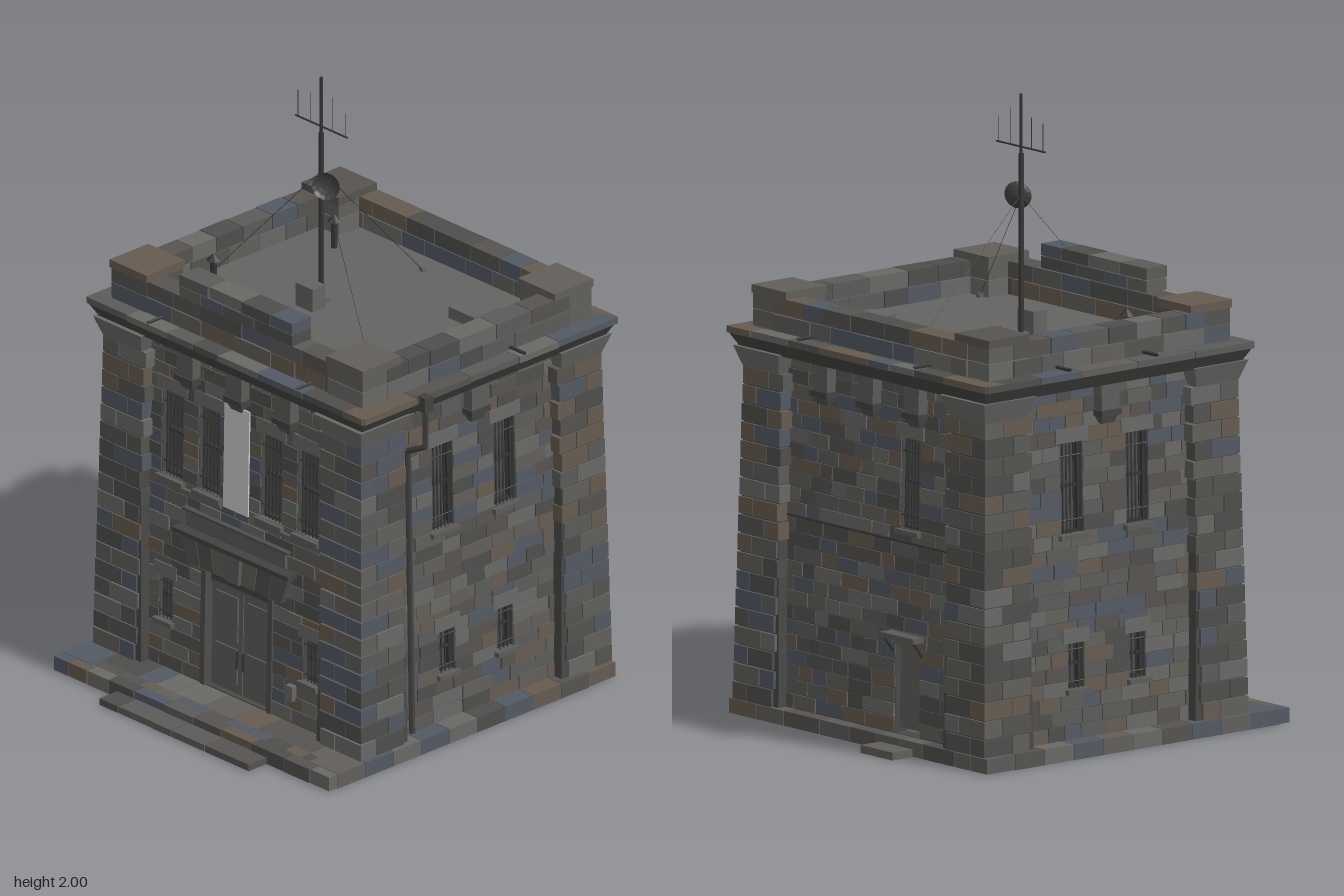
import * as THREE from 'three';
import { mergeGeometries } from 'three/addons/utils/BufferGeometryUtils.js';

const CX = -0.01, CZ = -0.075;              // centre of the tower in plan
const SHADES = [0x5b5b59, 0x625f5a, 0x535963, 0x655b50, 0x4e4e4c, 0x686865, 0x565350];
const mat = (color) => new THREE.MeshStandardMaterial({ color, side: THREE.DoubleSide, flatShading: true });
const STONE = SHADES.map(mat);
const [MORTAR, DARK, PANE, IRON, ROOF, DOOR, PALE] = [0x484846, 0x424240, 0x4c4c4b, 0x363636, 0x636361, 0x5e5d5a, 0xe6e6e6].map(mat);

let seed = 7;
const rnd = () => (seed = (seed * 16807) % 2147483647) / 2147483647;

function mesh(parent, name, geo, material) {
  const m = new THREE.Mesh(geo, material);
  m.name = name;
  parent.add(m);
  return m;
}
// box given by its limits
const boxGeo = (x0, x1, y0, y1, z0, z1) =>
  new THREE.BoxGeometry(x1 - x0, y1 - y0, z1 - z0).translate((x0 + x1) / 2, (y0 + y1) / 2, (z0 + z1) / 2);
const box = (p, name, m, ...b) => mesh(p, name, boxGeo(...b), m);
// box whose top has other half sizes than its foot
function taper(hx0, hz0, hx1, hz1, y0, y1) {
  const g = boxGeo(-1, 1, y0, y1, -1, 1), a = g.attributes.position;
  for (let i = 0; i < a.count; i++) {
    const top = a.getY(i) > (y0 + y1) / 2;
    a.setXYZ(i, a.getX(i) * (top ? hx1 : hx0), a.getY(i), a.getZ(i) * (top ? hz1 : hz0));
  }
  g.computeVertexNormals();
  return g;
}
function rod(parent, name, a, b, r, material = IRON, sides = 6) {
  const path = new THREE.LineCurve3(new THREE.Vector3(...a), new THREE.Vector3(...b));
  return mesh(parent, name, new THREE.TubeGeometry(path, 1, r, sides), material);
}
// stones sorted by shade, merged into one mesh per shade
class Masonry {
  constructor() { this.bins = SHADES.map(() => []); }
  add(geo) { this.bins[Math.floor(rnd() * SHADES.length)].push(geo); }
  // running courses over a rectangle, leaving out the openings [u0, u1, y0, y1]
  courses(u0, u1, y0, y1, rows, d0, d1, len, holes = [], gap = 0.003) {
    const h = (y1 - y0) / rows;
    for (let r = 0; r < rows; r++) {
      const a = y0 + r * h, b = a + h;
      let spans = [[u0, u1]];
      for (const o of holes) {
        if (Math.min(b, o[3]) - Math.max(a, o[2]) < 0.004) continue;
        spans = spans.flatMap(([s, e]) => [[s, Math.min(e, o[0])], [Math.max(s, o[1]), e]].filter(([p, q]) => q - p > 0.01));
      }
      for (const [s, e] of spans) {
        for (let u = s; u < e - 0.001;) {
          let v = u + len * (0.6 + 0.8 * rnd());
          if (e - v < len * 0.5) v = e;
          this.add(boxGeo(u + gap / 2, v - gap / 2, a + gap / 2, b - gap / 2, d0, d1 + 0.005 * rnd()));
          u = v;
        }
      }
    }
  }
  build(parent, name) {
    const g = new THREE.Group();
    g.name = name;
    this.bins.forEach((bin, i) => bin.length && mesh(g, name + 'Shade' + (i + 1), mergeGeometries(bin), STONE[i]));
    parent.add(g);
  }
}

// barred window: reveal pane, frame, bars and sill
function barredWindow(parent, [u0, u1, y0, y1], bars) {
  const g = new THREE.Group();
  g.name = 'window';
  parent.add(g);
  box(g, 'pane', PANE, u0, u1, y0, y1, -0.04, -0.035);
  for (const [a, b] of [[u0, u0 + 0.008], [u1 - 0.008, u1]]) box(g, 'frameSide', IRON, a, b, y0, y1, -0.035, -0.015);
  for (const y of [y0, (y0 + y1) / 2, y1 - 0.008]) box(g, 'frameRail', IRON, u0, u1, y, y + 0.008, -0.035, -0.015);
  for (let i = 1; i <= bars; i++) {
    const u = u0 + (u1 - u0) * i / (bars + 1);
    rod(g, 'bar', [u, y0, -0.004], [u, y1, -0.004], 0.0028);
  }
  for (const t of [0.15, 0.85]) {
    const y = y0 + (y1 - y0) * t;
    rod(g, 'crossBar', [u0, y, -0.004], [u1, y, -0.004], 0.0028);
  }
  box(g, 'sill', STONE[0], u0 - 0.012, u1 + 0.012, y0 - 0.016, y0, -0.04, 0.022);
  box(g, 'lintel', STONE[5], u0 - 0.02, u1 + 0.02, y1, y1 + 0.045, -0.04, 0.009);
}

// leaning wall set back between the corner piers, in its own plane z = 0
function wall(root, name, angle, dist, half, openings, corbels) {
  const face = new THREE.Group(), plane = new THREE.Group(), inner = new THREE.Group();
  face.name = name;
  face.position.set(CX, 0, CZ);
  face.rotation.y = angle;
  plane.position.set(0, 0.05, dist);
  plane.rotation.x = -0.02;
  inner.position.y = -0.05;
  plane.add(inner);
  face.add(plane);
  root.add(face);
  const rect = (p, [a, b, c, d]) => p.moveTo(a, c).lineTo(b, c).lineTo(b, d).lineTo(a, d).closePath();
  const shape = rect(new THREE.Shape(), [-half, half, 0.04, 1.19]);
  for (const o of openings) shape.holes.push(rect(new THREE.Path(), o));
  mesh(inner, 'wallPanel', new THREE.ExtrudeGeometry(shape, { depth: 0.05, bevelEnabled: false }).translate(0, 0, -0.05), MORTAR);
  const m = new Masonry();
  m.courses(-half, half, 0.05, 1.17, 24, -0.005, 0.002, 0.095, openings);
  m.build(inner, 'wallStones');
  for (const u of corbels) {
    box(inner, 'corbel', STONE[0], u - 0.036, u + 0.036, 1.08, 1.17, 0, 0.04);
    box(inner, 'corbelCap', DARK, u - 0.041, u + 0.041, 1.06, 1.08, 0, 0.045);
    mesh(inner, 'corbelFoot', taper(0.024, 0.008, 0.034, 0.018, 1.035, 1.06).translate(u, 0, 0.018), STONE[4]);
  }
  return inner;
}

export function createModel() {
  const root = new THREE.Group();
  root.name = 'stoneTower';
  seed = 7;
  const at = (x, z) => { const g = new THREE.Group(); g.position.set(x, 0, z); root.add(g); return g; };
  const rect = (u, w, y0, y1) => [u - w / 2, u + w / 2, y0, y1];

  // plinth ring, front paving and steps
  const base = new Masonry();
  base.courses(-0.63, 0.61, 0, 0.05, 1, 0.57, 0.612, 0.11);
  base.courses(-0.58, 0.57, 0, 0.05, 1, 0.53, 0.57, 0.1);
  base.courses(-0.58, 0.57, 0, 0.05, 1, 0.42, 0.53, 0.1);
  base.courses(-0.63, 0.61, 0, 0.05, 1, -0.615, -0.5, 0.13);
  base.courses(-0.345, 0.33, 0, 0.025, 1, 0.612, 0.688, 0.13);
  for (const [x0, x1] of [[-0.63, -0.5], [0.48, 0.61]])
    for (let i = 0; i < 9; i++) base.add(boxGeo(x0, x1, 0, 0.05, -0.5 + i * 0.12, -0.382 + i * 0.12));
  base.build(root, 'plinth');
  box(root, 'backStep', STONE[1], -0.27, -0.115, 0, 0.025, -0.695, -0.61);

  // walls
  const high = [-0.305, -0.14, 0.14, 0.305].map((u) => rect(u, 0.096, 0.7, 0.99));
  const low = [-0.325, 0.325].map((u) => rect(u, 0.062, 0.21, 0.355));
  const door = rect(0, 0.3, 0.05, 0.44);
  const sideHigh = [-0.133, 0.133].map((u) => rect(u, 0.09, 0.7, 0.99));
  const sideLow = [-0.125, 0.125].map((u) => rect(u, 0.066, 0.21, 0.355));
  const backHigh = rect(0.18, 0.09, 0.7, 0.99), backDoor = rect(0.18, 0.12, 0.05, 0.33);
  const f = wall(root, 'frontWall', 0, 0.492, 0.43, [...high, ...low, door], [-0.22, 0, 0.22]);
  const b = wall(root, 'backWall', Math.PI, 0.492, 0.43, [backHigh, backDoor], [-0.22, 0, 0.22]);
  const sides = [1, -1].map((s) => wall(root, s > 0 ? 'leftWall' : 'rightWall', s * Math.PI / 2, 0.557, 0.37, [...sideHigh, ...sideLow], [0]));
  for (const [w, hi, lo] of [[f, high, low], [b, [backHigh], []], ...sides.map((s) => [s, sideHigh, sideLow])]) {
    hi.forEach((o) => barredWindow(w, o, 5));
    lo.forEach((o) => barredWindow(w, o, 3));
  }

  // corner piers of stacked quoins, stepping inward as they rise
  const quoins = new Masonry(), rows = 18, ph = 1.06 / rows;
  for (const sx of [-1, 1]) for (const sz of [-1, 1]) {
    for (let r = 0; r < rows; r++) {
      const y = 0.05 + r * ph, lean = 0.024 * r / rows, w = r % 2 ? 0.195 : 0.187, cut = r % 2 ? 0.07 : 0.12;
      for (const [a, e] of [[0, cut], [cut, w]]) for (const [c, d] of [[0, 0.19 - cut], [0.19 - cut, w]])
        quoins.add(boxGeo(a, e - 0.003, y, y + ph - 0.005, c, d - 0.003)
          .translate(-w / 2, 0, -w / 2)
          .rotateY(sx * sz > 0 ? Math.PI : 0)
          .translate(CX + sx * (0.605 - lean - w / 2), 0, CZ + sz * (0.54 - lean - w / 2)));
    }
    const core = at(CX + sx * 0.495, CZ + sz * 0.43);
    mesh(core, 'pierCore', taper(0.1, 0.1, 0.08, 0.08, 0.05, 1.17), MORTAR);
    mesh(core, 'pierCapital', taper(0.084, 0.084, 0.108, 0.108, 1.1, 1.17), STONE[5]);
  }
  quoins.build(root, 'cornerPiers');

  // cornice and roof deck
  const top = at(CX, CZ);
  mesh(top, 'corniceMoulding', taper(0.59, 0.52, 0.615, 0.545, 1.165, 1.21), DARK);
  box(top, 'roofDeck', ROOF, -0.56, 0.56, 1.2, 1.232, -0.49, 0.49);

  // parapet, cornice slabs and drain spouts on the four sides: front, left, back, right
  const drains = [[-0.335, 0.335], [0.135], [-0.27, 0.29], [-0.215, 0.14]];
  drains.forEach((spouts, i) => {
    const g = at(CX, CZ), m = new Masonry();
    const [d, l] = i % 2 ? [0.567, 0.49] : [0.49, 0.567];
    g.rotation.y = i * Math.PI / 2;
    m.courses(-l - 0.055, l + 0.055, 1.208, 1.232, 1, d - 0.02, d + 0.055, 0.17);
    m.courses(-l + 0.1, l - 0.1, 1.232, 1.34, 2, d - 0.073, d, 0.14);
    if (i === 0) m.courses(-0.255, 0.255, 1.34, 1.42, 2, d - 0.07, d + 0.008, 0.13);
    m.build(g, 'parapet');
    for (const u of spouts) rod(g, 'drainSpout', [u, 1.243, d - 0.02], [u, 1.243, d + 0.068], 0.006);
  });
  const posts = new Masonry();
  for (const x of [-0.487, 0.487]) for (const z of [-0.412, 0.412])
    for (const [y0, y1, h] of [[1.232, 1.285, 0.079], [1.287, 1.335, 0.079], [1.336, 1.362, 0.083]])
      posts.add(boxGeo(x - h, x + h, y0, y1, z - h, z + h).translate(CX, 0, CZ + 0.004));
  posts.build(root, 'parapetPosts');

  // front entrance: double door, flat arch, hood, panel
  for (const s of [-1, 1]) {
    box(f, 'doorLeaf', DOOR, s > 0 ? 0.002 : -0.14, s > 0 ? 0.14 : -0.002, 0.05, 0.395, -0.04, -0.02);
    for (const [y0, y1] of [[0.08, 0.2], [0.225, 0.375]]) box(f, 'doorPanel', DOOR, s * 0.071 - 0.05, s * 0.071 + 0.05, y0, y1, -0.02, -0.014);
    rod(f, 'doorHandle', [s * 0.014, 0.14, -0.008], [s * 0.014, 0.2, -0.008], 0.004);
    box(f, 'doorJamb', STONE[4], s * 0.15 - 0.01, s * 0.15 + 0.01, 0.05, 0.44, -0.05, 0.012);
  }
  box(f, 'transom', DOOR, -0.14, 0.14, 0.395, 0.44, -0.04, -0.012);
  box(f, 'transomRail', DARK, -0.135, 0.135, 0.41, 0.43, -0.012, -0.008);
  for (let i = -3; i <= 3; i++) {
    const s = new THREE.Shape(), low2 = (t) => t * 0.061, up = (t) => t * 0.07;
    s.moveTo(low2(i - 0.48), 0.45).lineTo(low2(i + 0.48), 0.45).lineTo(up(i + 0.48), 0.545).lineTo(up(i - 0.48), 0.545).closePath();
    mesh(f, 'archStone', new THREE.ExtrudeGeometry(s, { depth: i ? 0.025 : 0.035, bevelEnabled: false }), STONE[[0, 1, 4, 6][Math.abs(i)]]);
  }
  box(f, 'doorHood', DARK, -0.262, 0.262, 0.545, 0.56, 0, 0.045);
  box(f, 'blankPanel', STONE[0], -0.225, 0.22, 0.567, 0.62, 0, 0.018);
  box(f, 'panelLedge', STONE[4], -0.24, 0.235, 0.62, 0.628, 0, 0.024);
  box(f, 'wallBox', STONE[5], 0.235, 0.265, 0.13, 0.18, 0, 0.022);
  box(f, 'tallBanner', PALE, -0.056, 0.056, 0.69, 1.047, 0.018, 0.023);
  for (const s of [-1, 1]) box(f, 'sillBand', STONE[0], s * 0.225 - 0.15, s * 0.225 + 0.15, 0.672, 0.684, 0, 0.016);

  // back entrance and cable
  box(b, 'backDoor', DOOR, 0.12, 0.24, 0.065, 0.33, -0.04, -0.02);
  box(b, 'backCanopy', STONE[0], 0.1, 0.26, 0.355, 0.372, 0, 0.052);
  for (const u of [0.11, 0.25]) rod(b, 'canopyBracket', [u, 0.31, 0.004], [u, 0.358, 0.042], 0.005);
  rod(b, 'wallCable', [-0.4, 0.66, 0.008], [0.4, 0.66, 0.008], 0.004);

  // downpipe with hopper on the left side
  box(root, 'hopper', DARK, 0.608, 0.643, 1.185, 1.235, 0.2, 0.235);
  [[0.626, 1.19], [0.626, 1.06], [0.547, 1.02], [0.566, 0.06]].forEach((p, i, a) =>
    i && rod(root, 'downpipe', [a[i - 1][0], a[i - 1][1], 0.217], [p[0], p[1], 0.217], 0.01, DARK));

  // roof hatch, vents, equipment box
  box(root, 'roofHatch', ROOF, 0.255, 0.37, 1.23, 1.27, -0.345, -0.235);
  box(root, 'equipmentBox', ROOF, -0.14, -0.063, 1.23, 1.31, -0.01, 0.045);
  box(root, 'mastFoot', ROOF, -0.125, -0.085, 1.23, 1.245, -0.055, -0.015);
  for (const [x, z] of [[-0.365, -0.335], [-0.415, 0.135]]) {
    rod(root, 'ventPipe', [x, 1.23, z], [x, 1.325, z], 0.011);
    mesh(root, 'ventCap', new THREE.ConeGeometry(0.023, 0.024, 6), IRON).position.set(x, 1.334, z);
  }

  // mast, guy wires, aerial and dish
  const mx = -0.105, mz = -0.032;
  rod(root, 'mast', [mx, 1.23, mz], [mx, 1.81, mz], 0.0085, IRON, 8);
  rod(root, 'mastTip', [mx, 1.8, mz], [mx, 2, mz], 0.005);
  for (const [x, z] of [[-0.445, 0.185], [0.425, 0.25], [-0.05, -0.415]]) {
    rod(root, 'guyWire', [mx, 1.68, mz], [x, 1.235, z], 0.001, IRON, 4);
    box(root, 'guyAnchor', ROOF, x - 0.008, x + 0.008, 1.23, 1.245, z - 0.008, z + 0.008);
  }
  rod(root, 'aerialBoom', [-0.222, 1.832, mz], [0.013, 1.832, mz], 0.003);
  for (const [x, h] of [[-0.21, 0.09], [-0.155, 0.1], [-0.055, 0.115], [0.005, 0.08]])
    rod(root, 'aerialElement', [x, 1.832, mz], [x, 1.832 + h, mz], 0.0015, IRON, 4);
  rod(root, 'dishArm', [mx, 1.66, mz], [-0.045, 1.66, 0.0], 0.005);
  const bowl = [[0, 0], [0.02, 0.003], [0.035, 0.009], [0.045, 0.017]].map((p) => new THREE.Vector2(...p));
  const dish = mesh(root, 'dish', new THREE.LatheGeometry(bowl, 14), DARK);
  dish.position.set(-0.047, 1.66, -0.002);
  dish.quaternion.setFromUnitVectors(new THREE.Vector3(0, 1, 0), new THREE.Vector3(0.52, 0.12, 0.84).normalize());
  return root;
}
